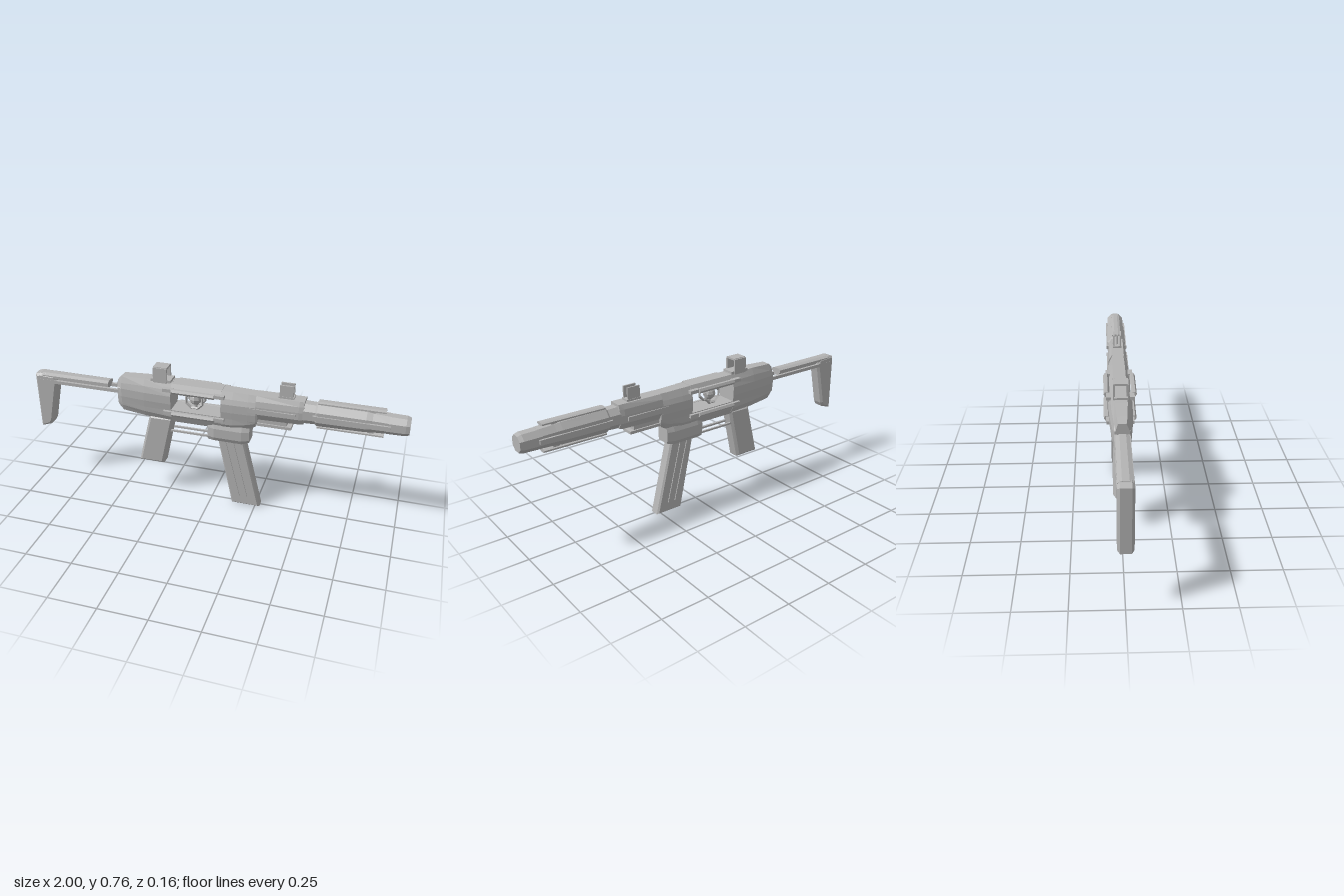
import * as THREE from 'three';

export function createModel() {
  const root = new THREE.Group();
  const metal = new THREE.MeshStandardMaterial({ color: 0xb4b4b4 });
  metal.name = 'plain grey';

  const add = (name, geo, x = 0, y = 0, z = 0, parent = root) => {
    const flat = geo.index ? geo.toNonIndexed() : geo;
    flat.computeVertexNormals();
    const m = new THREE.Mesh(flat, metal);
    m.name = name;
    m.position.set(x, y, z);
    parent.add(m);
    return m;
  };

  // box given by its limits
  const block = (name, x0, x1, y0, y1, z0, z1) =>
    add(name, new THREE.BoxGeometry(x1 - x0, y1 - y0, z1 - z0), (x0 + x1) / 2, (y0 + y1) / 2, (z0 + z1) / 2);
  const pair = (name, x0, x1, y0, y1, z0, z1) => {
    block(name + 'Left', x0, x1, y0, y1, z0, z1);
    block(name + 'Right', x0, x1, y0, y1, -z1, -z0);
  };

  // bevelled side-profile slab, centred on z
  const slab = (name, pts, half, bevel) => {
    const shape = new THREE.Shape(pts.map(p => new THREE.Vector2(p[0], p[1])));
    const geo = new THREE.ExtrudeGeometry(shape, {
      depth: 2 * (half - bevel), bevelEnabled: bevel > 0, bevelSize: bevel,
      bevelThickness: bevel, bevelOffset: -bevel, bevelSegments: 1
    });
    geo.translate(0, 0, -(half - bevel));
    return add(name, geo);
  };

  // loft along x; each station is [x, half profile of [y, z] from top to bottom]
  const loft = (name, stations) => {
    const rings = stations.map(([x, half]) => [
      ...half.map(([y, z]) => [x, y, z]),
      ...half.slice().reverse().map(([y, z]) => [x, y, -z])
    ]);
    const v = [], n = rings[0].length;
    const tri = (a, b, c) => v.push(...a, ...b, ...c);
    for (let s = 0; s + 1 < rings.length; s++) {
      const a = rings[s], b = rings[s + 1];
      for (let i = 0; i < n; i++) {
        const j = (i + 1) % n;
        tri(a[i], a[j], b[j]);
        tri(a[i], b[j], b[i]);
      }
    }
    const first = rings[0], last = rings[rings.length - 1];
    for (let i = 1; i + 1 < n; i++) {
      tri(last[0], last[i], last[i + 1]);
      tri(first[0], first[i + 1], first[i]);
    }
    const geo = new THREE.BufferGeometry();
    geo.setAttribute('position', new THREE.Float32BufferAttribute(v, 3));
    return add(name, geo);
  };

  // octagonal half profile
  const oct = (yc, ry, rz) => [[yc + ry, rz * 0.45], [yc + ry * 0.45, rz], [yc - ry * 0.45, rz], [yc - ry, rz * 0.45]];

  // receiver: rear, front and the two strips around the open window
  const body = (top, bottom, w) => [
    [top, 0.55 * w], [top - 0.035, 0.84 * w], [0.62, w], [0.575, w], [0.535, 0.9 * w],
    [Math.min(0.525, bottom + 0.035), 0.85 * w], [bottom, 0.55 * w]
  ];
  loft('receiverRear', [
    [-0.515, body(0.66, 0.51, 0.036)], [-0.49, body(0.685, 0.485, 0.045)],
    [-0.36, body(0.69, 0.472, 0.056)], [-0.21, body(0.685, 0.462, 0.06)]
  ]);
  loft('receiverFront', [
    [0.06, body(0.682, 0.462, 0.06)], [0.12, body(0.682, 0.464, 0.06)],
    [0.2, body(0.68, 0.478, 0.057)], [0.24, body(0.68, 0.5, 0.054)], [0.25, body(0.68, 0.545, 0.05)]
  ]);
  const upper = [[0.684, 0.033], [0.65, 0.052], [0.648, 0.052]];
  const lower = [[0.54, 0.055], [0.5, 0.05], [0.462, 0.033]];
  loft('windowTopBeam', [[-0.21, upper], [0.06, upper]]);
  loft('windowLowerBeam', [[-0.21, lower], [0.06, lower]]);

  // side bars along the window edges
  for (const s of [-1, 1]) for (const y of [0.658, 0.527]) {
    const bar = new THREE.CylinderGeometry(0.014, 0.014, 0.23, 6);
    bar.rotateZ(Math.PI / 2);
    add('windowBar', bar, -0.085, y, s * 0.068);
    for (const x of [-0.222, 0.052]) {
      add('windowBarEnd', new THREE.BoxGeometry(0.056, 0.018, 0.024), x, y, s * 0.058);
    }
  }

  // core held in the window
  const core = new THREE.Group();
  core.name = 'windowCore';
  core.position.set(-0.09, 0.6, 0);
  root.add(core);
  for (const z of [-0.025, 0.025]) add('coreRing', new THREE.TorusGeometry(0.047, 0.008, 4, 8).rotateZ(Math.PI / 8), 0, 0, z, core);
  add('coreBall', new THREE.SphereGeometry(0.034, 8, 6), 0, 0, 0, core);
  add('coreStem', new THREE.CylinderGeometry(0.009, 0.009, 0.13, 6), 0, 0, 0, core);

  // fore-end with side rails and lower rail
  const fore = (w, b) => [[0.68, 0.033], [0.655, w - 0.006], [0.625, w], [0.585, w], [b, 0.03]];
  loft('foreEnd', [[0.24, fore(0.054, 0.545)], [0.46, fore(0.05, 0.55)], [0.485, fore(0.046, 0.555)]]);
  pair('foreRail', 0.2, 0.445, 0.592, 0.615, 0.045, 0.058);
  block('lowerRail', 0.24, 0.425, 0.51, 0.525, -0.034, 0.034);
  block('lowerRailMount', 0.25, 0.4, 0.52, 0.56, -0.026, 0.026);

  // barrel shroud, muzzle and four rails
  loft('barrelShroud', [
    [0.48, oct(0.612, 0.055, 0.047)], [0.54, oct(0.612, 0.053, 0.045)],
    [0.55, oct(0.612, 0.06, 0.051)], [0.79, oct(0.612, 0.056, 0.049)],
    [0.82, oct(0.612, 0.052, 0.046)], [0.9, oct(0.612, 0.048, 0.046)]
  ]);
  loft('muzzle', [
    [0.89, oct(0.611, 0.048, 0.047)], [0.98, oct(0.611, 0.046, 0.046)], [1, oct(0.611, 0.04, 0.041)]
  ]);
  loft('barrelTopRail', [[0.55, oct(0.676, 0.008, 0.024)], [0.88, oct(0.676, 0.008, 0.024)]]);
  loft('barrelLowerRail', [[0.55, oct(0.544, 0.009, 0.024)], [0.88, oct(0.544, 0.009, 0.024)]]);
  for (const x of [0.6, 0.8]) block('railMount', x, x + 0.03, 0.545, 0.675, -0.017, 0.017);
  pair('barrelSideRail', 0.53, 0.91, 0.6, 0.621, 0.045, 0.057);

  // rear sight arch
  pair('rearSightWall', -0.31, -0.235, 0.68, 0.762, 0.027, 0.037);
  block('rearSightRoof', -0.31, -0.235, 0.755, 0.765, -0.03, 0.03);
  block('rearSightBase', -0.325, -0.215, 0.68, 0.698, -0.034, 0.034);

  // front sight blades
  pair('frontSightBlade', 0.355, 0.425, 0.67, 0.75, 0.014, 0.022);
  block('frontSightPost', 0.38, 0.4, 0.67, 0.742, -0.004, 0.004);
  block('frontSightBase', 0.35, 0.43, 0.67, 0.69, -0.024, 0.024);

  // grip, magazine well, magazine and ribs
  slab('grip', [[-0.41, 0.187], [-0.268, 0.187], [-0.205, 0.48], [-0.34, 0.48]], 0.04, 0.014);
  const well = w => [[0.49, 0.8 * w], [0.462, w], [0.41, w], [0.388, 0.8 * w]];
  loft('magazineWell', [
    [-0.015, well(0.04)], [0.02, well(0.05)], [0.17, well(0.05)],
    [0.21, [[0.49, 0.032], [0.462, 0.04], [0.415, 0.04], [0.4, 0.032]]]
  ]);
  slab('magazine', [[0.12, 0], [0.275, 0], [0.175, 0.42], [0.033, 0.42]], 0.032, 0.009);
  for (const x of [0.155, 0.198]) {
    slab('magazineRib', [[x, 0.057], [x + 0.01, 0.055], [x - 0.073, 0.395], [x - 0.083, 0.395]], 0.037, 0);
  }

  // trigger guard
  pair('guardRod', -0.225, 0.0, 0.394, 0.404, 0.018, 0.028);
  block('guardPost', -0.018, -0.004, 0.394, 0.47, -0.028, 0.028);

  // stock arm, twin rods and shoulder plate
  loft('stockArm', [[-0.96, oct(0.624, 0.015, 0.035)], [-0.57, oct(0.624, 0.015, 0.033)]]);
  pair('stockRod', -0.97, -0.5, 0.588, 0.606, 0.024, 0.038);
  block('stockArmWeb', -0.94, -0.575, 0.596, 0.615, -0.02, 0.02);
  slab('shoulderPlate', [
    [-1, 0.305], [-0.94, 0.325], [-0.925, 0.35], [-0.88, 0.56], [-0.87, 0.6], [-0.885, 0.632], [-0.97, 0.637], [-1, 0.63]
  ], 0.037, 0.012);

  return root;
}
